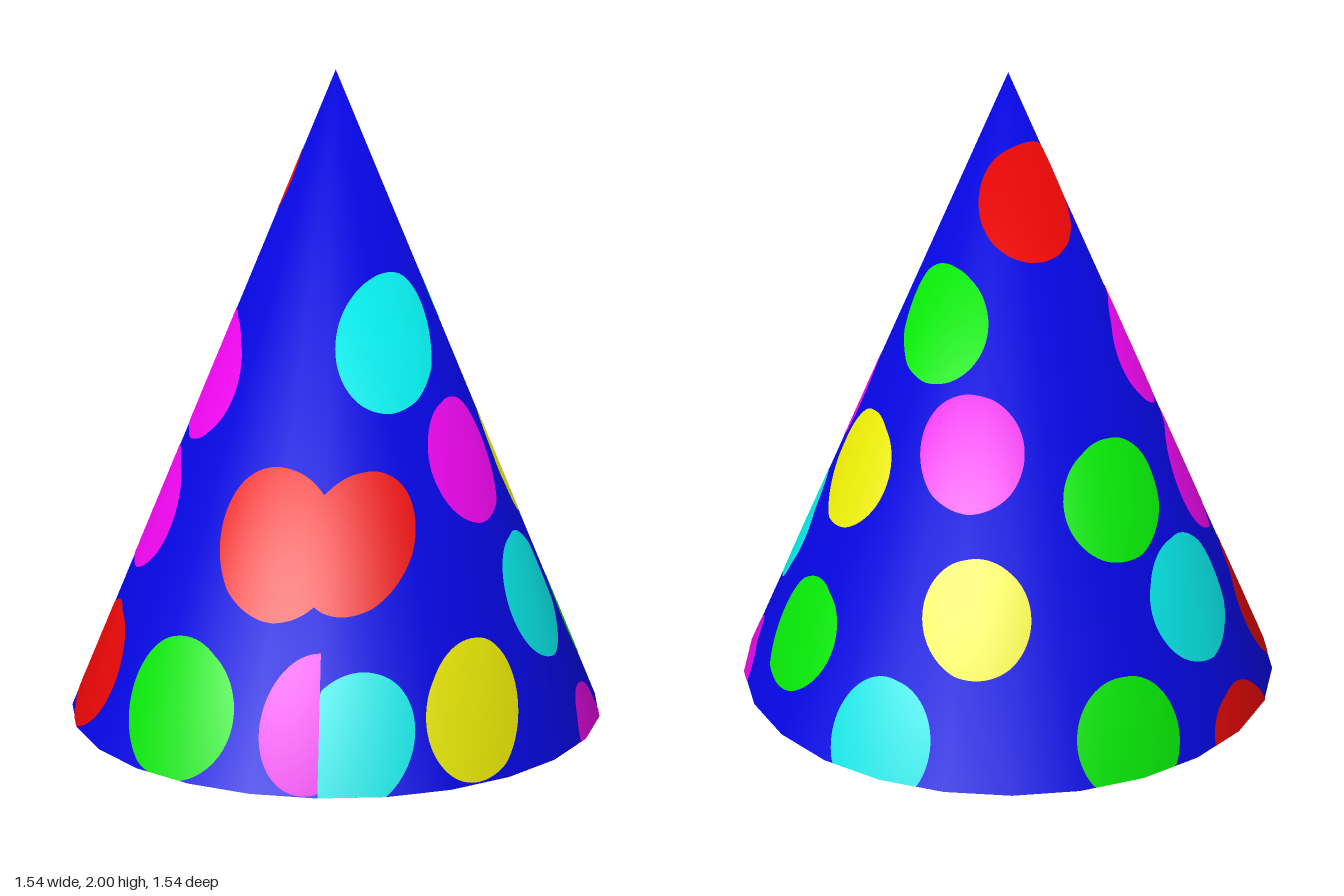
import * as THREE from 'three';

const RADIUS = 0.776, HEIGHT = 2, SIDES = 24;
const SLANT = Math.hypot(RADIUS, HEIGHT);
const SIN = RADIUS / SLANT, COS = HEIGHT / SLANT;
const rad = THREE.MathUtils.degToRad;
const START = rad(8.7);       // angle of the first cone edge
const SEAM = rad(-36.3);      // edge where the pattern meets itself
const STEP = (2 * Math.PI) / SIDES;
const UP = new THREE.Vector3(0, 1, 0);

const material = (name, color) => new THREE.MeshStandardMaterial({ name, color });

// Radius of the faceted cone relative to a round one, at an angle
function facet(theta) {
  const t = THREE.MathUtils.euclideanModulo(theta - START, STEP) - STEP / 2;
  return Math.cos(STEP / 2) / Math.cos(t);
}

// Elliptical dot laid out on the unrolled cone, then wrapped round it.
// angle and tilt in degrees, y = centre height, w and h = half sizes
function dotGeometry(angle, y, w, h, tilt = 0, clip = 0) {
  const RINGS = 18, SEGS = 72, LIFT = 0.0015;
  const positions = [], normals = [], index = [];
  const s0 = SLANT * (1 - y / HEIGHT), t = rad(tilt);
  const normal = new THREE.Vector3();
  for (let i = 0; i <= RINGS; i++) {
    for (let j = 0; j <= SEGS; j++) {
      const p = (j / SEGS) * 2 * Math.PI;
      const a = (w * i / RINGS) * Math.cos(p), b = (h * i / RINGS) * Math.sin(p);
      const u = a * Math.cos(t) + b * Math.sin(t);
      const v = b * Math.cos(t) - a * Math.sin(t);
      const s = Math.min(SLANT, Math.hypot(u, s0 - v));
      let theta = rad(angle) + Math.atan2(u, s0 - v) / SIN;
      if (clip > 0) theta = Math.max(theta, SEAM);
      if (clip < 0) theta = Math.min(theta, SEAM);
      const r = s * SIN * facet(theta) + LIFT * COS;
      positions.push(r * Math.sin(theta), HEIGHT - s * COS + LIFT * SIN, r * Math.cos(theta));
      // Shading turns upward towards the tip, as on the cone
      normal.set(COS * Math.sin(theta), SIN, COS * Math.cos(theta)).lerp(UP, 1 - s / SLANT).normalize();
      normals.push(normal.x, normal.y, normal.z);
      if (i < RINGS && j < SEGS) {
        const k = i * (SEGS + 1) + j, n = k + SEGS + 1;
        index.push(k, n, n + 1);
        if (i > 0) index.push(k, n + 1, k + 1);
      }
    }
  }
  const g = new THREE.BufferGeometry();
  g.setAttribute('position', new THREE.Float32BufferAttribute(positions, 3));
  g.setAttribute('normal', new THREE.Float32BufferAttribute(normals, 3));
  g.setIndex(index);
  return g;
}

// Dots by colour: angle, y, half width, half height, tilt, side of the seam
const DOTS = {
  red: [
    [176, 1.63, 0.175, 0.18],
    [-52.5, 0.685, 0.19, 0.23, -8],
    [-25, 0.695, 0.165, 0.227, 30],
    [244.5, 0.18, 0.193, 0.197, -20],
    [207.5, -0.05, 0.177, 0.18],
  ],
  green: [
    [77, 0.27, 0.162, 0.185, 25],
    [96.7, 1.265, 0.167, 0.18],
    [184.5, 0.762, 0.178, 0.187, -10],
    [285.5, 0.19, 0.2, 0.217, -30],
    [172.5, 0.11, 0.172, 0.19],
  ],
  yellow: [
    [73, 0.765, 0.165, 0.19, 18],
    [4, 0.2, 0.163, 0.218, 25],
    [133.5, 0.48, 0.165, 0.182, -5],
  ],
  magenta: [
    [28, 0.86, 0.158, 0.192],
    [47.5, -0.05, 0.156, 0.19],
    [127, 0.935, 0.163, 0.178],
    [243, 1.065, 0.187, 0.203, -20],
    [239.5, 0.645, 0.188, 0.192, -20],
    [-38, 0.2, 0.155, 0.215, 14, -1],
  ],
  cyan: [
    [0.5, 1.235, 0.168, 0.212, 24],
    [40.3, 0.43, 0.162, 0.193, 8],
    [111.6, 0.095, 0.166, 0.2],
    [204, 0.405, 0.185, 0.195, -10],
    [-28, 0.15, 0.175, 0.218, 30, 1],
  ],
};

export function createModel() {
  const model = new THREE.Group();
  model.name = 'partyHat';

  // Cone with a closed base, shaded smoothly over the tip
  const coneGeometry = new THREE.ConeGeometry(RADIUS, HEIGHT, SIDES, 1, false, START);
  for (let i = 0; i <= SIDES; i++) coneGeometry.attributes.normal.setXYZ(i, 0, 1, 0);
  const cone = new THREE.Mesh(coneGeometry, material('blue', 0x0606e6));
  cone.name = 'cone';
  cone.position.y = HEIGHT / 2;
  model.add(cone);

  // Painted dots
  const colors = { red: 0xe60606, green: 0x06e606, yellow: 0xe6e606, magenta: 0xe606e6, cyan: 0x06e6e6 };
  for (const [color, dots] of Object.entries(DOTS)) {
    const mat = material(color, colors[color]);
    const group = new THREE.Group();
    group.name = color + 'Dots';
    for (const dot of dots) {
      const mesh = new THREE.Mesh(dotGeometry(...dot), mat);
      mesh.name = color + 'Dot';
      group.add(mesh);
    }
    model.add(group);
  }
  return model;
}
